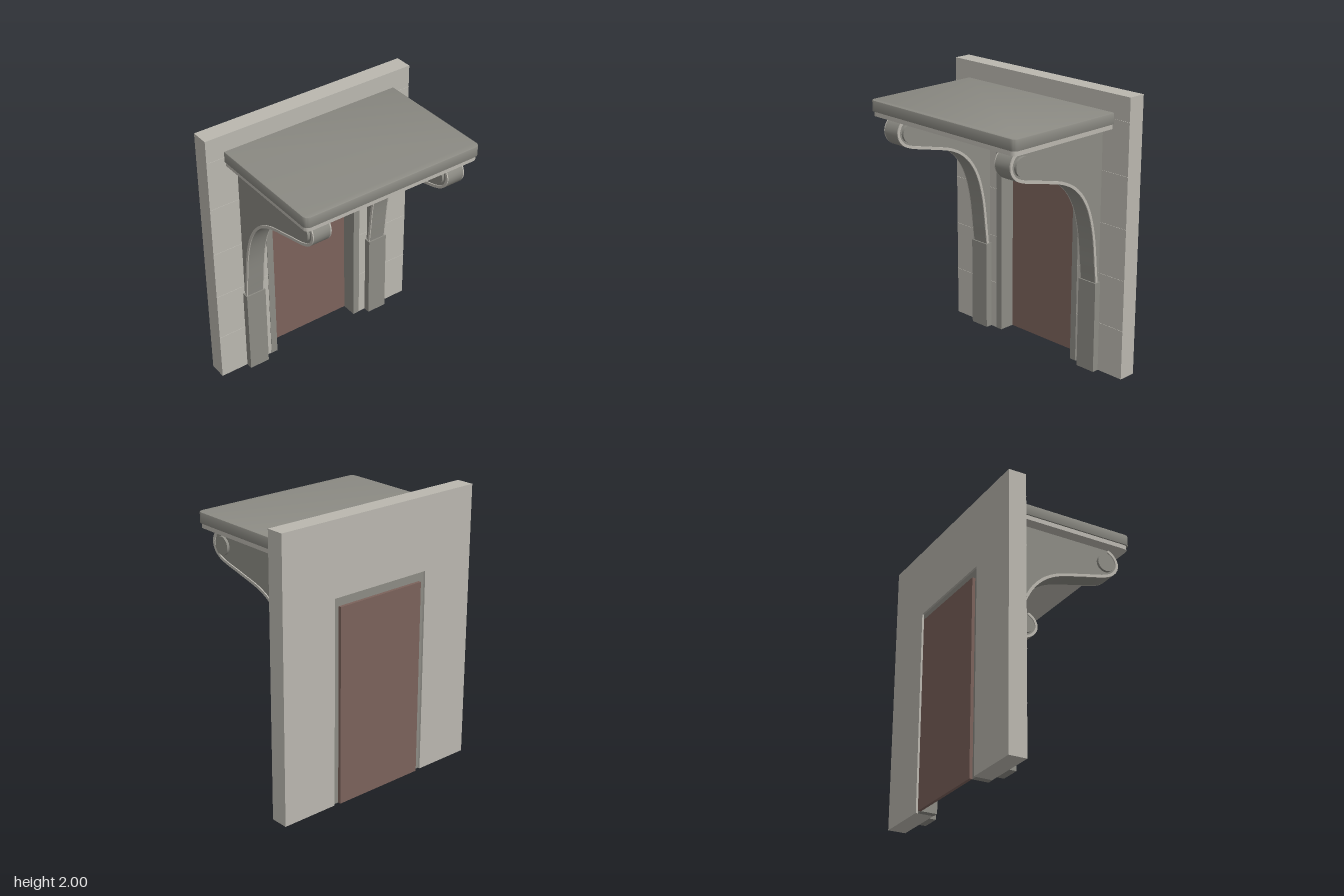
import * as THREE from 'three';
import { toCreasedNormals } from 'three/addons/utils/BufferGeometryUtils.js';

export function createModel() {
  const mat = (name, color) => {
    const m = new THREE.MeshStandardMaterial({ color });
    m.name = name;
    return m;
  };
  const paleStone = mat('pale stone', 0xbab7af);
  const darkStone = mat('dark stone', 0x8c8b84);
  const doorBrown = mat('door brown', 0x7b625b);

  const model = new THREE.Group();
  model.name = 'doorway';
  const add = (name, geometry, material, parent = model) => {
    const mesh = new THREE.Mesh(geometry, material);
    mesh.name = name;
    parent.add(mesh);
    return mesh;
  };
  const box = (name, x0, x1, y0, y1, z0, z1, material, parent) => {
    const mesh = add(name, new THREE.BoxGeometry(x1 - x0, y1 - y0, z1 - z0), material, parent);
    mesh.position.set((x0 + x1) / 2, (y0 + y1) / 2, (z0 + z1) / 2);
    return mesh;
  };

  // Upright panel with a notch open to the ground
  const arch = (name, w, h, holeW, holeH, z0, z1, material) => {
    const shape = new THREE.Shape([
      [-w, 0], [-holeW, 0], [-holeW, holeH], [holeW, holeH],
      [holeW, 0], [w, 0], [w, h], [-w, h],
    ].map(([x, y]) => new THREE.Vector2(x, y)));
    const geometry = new THREE.ExtrudeGeometry(shape, { depth: z1 - z0, bevelEnabled: false });
    add(name, geometry, material).position.z = z0;
  };
  arch('wall', 0.825, 2, 0.4, 1.48, -0.52, -0.39, paleStone);
  arch('doorFrame', 0.4, 1.48, 0.35, 1.41, -0.505, -0.387, darkStone);
  box('door', -0.355, 0.355, 0, 1.415, -0.527, -0.505, doorBrown);

  // Fine course lines on the wall front
  for (let i = 0; i < 5; i++) {
    const y = 0.36 + i * 0.368;
    const spans = y < 1.48 ? [[-0.825, -0.4], [0.4, 0.825]] : [[-0.825, 0.825]];
    for (const [a, b] of spans) box('wallCourse', a, b, y - 0.002, y + 0.002, -0.39, -0.387, paleStone);
  }

  // Canopy: rounded front corners, laid flat
  const slab = (name, w, front, r, y0, y1, bevel, material) => {
    const b = bevel, back = -0.39, W = w - b, F = front - b;
    const s = new THREE.Shape();
    s.moveTo(-W, -back);
    s.lineTo(-W, -F + r);
    s.quadraticCurveTo(-W, -F, -W + r, -F);
    s.lineTo(W - r, -F);
    s.quadraticCurveTo(W, -F, W, -F + r);
    s.lineTo(W, -back);
    const geometry = new THREE.ExtrudeGeometry(s, {
      depth: y1 - y0 - 2 * b, bevelEnabled: b > 0, bevelSize: b, bevelThickness: b,
      bevelSegments: 2, curveSegments: 8,
    });
    geometry.rotateX(-Math.PI / 2);
    add(name, toCreasedNormals(geometry, 0.6), material).position.y = y0 + b;
  };
  slab('canopySlab', 0.69, 0.525, 0.04, 1.795, 1.875, 0.006, darkStone);
  slab('canopyMoulding', 0.68, 0.515, 0.04, 1.763, 1.795, 0, paleStone);

  // Bracket outline in the z, y plane, from the scroll top down to the pilaster
  const curve = new THREE.SplineCurve([
    [0.40, 1.765], [0.452, 1.727], [0.477, 1.66], [0.446, 1.59], [0.366, 1.544],
    [0.19, 1.50], [-0.02, 1.443], [-0.154, 1.358], [-0.25, 1.22],
    [-0.308, 1.024], [-0.34, 0.76], [-0.35, 0.665],
  ].map(([z, y]) => new THREE.Vector2(z, y)));
  const N = 64;
  const outer = curve.getSpacedPoints(N);
  const inner = outer.map((p, i) => {
    const t = curve.getTangentAt(i / N);
    return new THREE.Vector2(p.x + t.y * 0.02, Math.min(p.y - t.x * 0.02, 1.765));
  });
  const coreShape = new THREE.Shape([
    new THREE.Vector2(-0.39, 0.665), new THREE.Vector2(-0.39, 1.765), ...outer,
  ]);
  const trimShape = new THREE.Shape([...outer, ...inner.reverse()]);
  const acrossX = (shape, x0, x1) => {
    const geometry = new THREE.ExtrudeGeometry(shape, { depth: x1 - x0, bevelEnabled: false });
    geometry.rotateY(-Math.PI / 2).translate(x1, 0, 0);
    return toCreasedNormals(geometry, 0.6);
  };

  // Matching brackets, symmetric about their own centre
  for (const side of [1, -1]) {
    const bracket = new THREE.Group();
    bracket.name = side > 0 ? 'leftBracket' : 'rightBracket';
    bracket.position.x = side * 0.535;
    model.add(bracket);
    add('bracketBody', acrossX(coreShape, -0.063, 0.063), darkStone, bracket);
    add('bracketTrim', acrossX(trimShape, 0.063, 0.071), paleStone, bracket);
    add('bracketTrim', acrossX(trimShape, -0.071, -0.063), paleStone, bracket);
    box('pilaster', -0.077, 0.077, 0, 0.665, -0.39, -0.34, darkStone, bracket);
    const disc = add('scrollDisc', new THREE.CylinderGeometry(0.065, 0.065, 0.164, 32), darkStone, bracket);
    disc.rotation.z = Math.PI / 2;
    disc.position.set(0, 1.655, 0.37);
  }
  return model;
}
